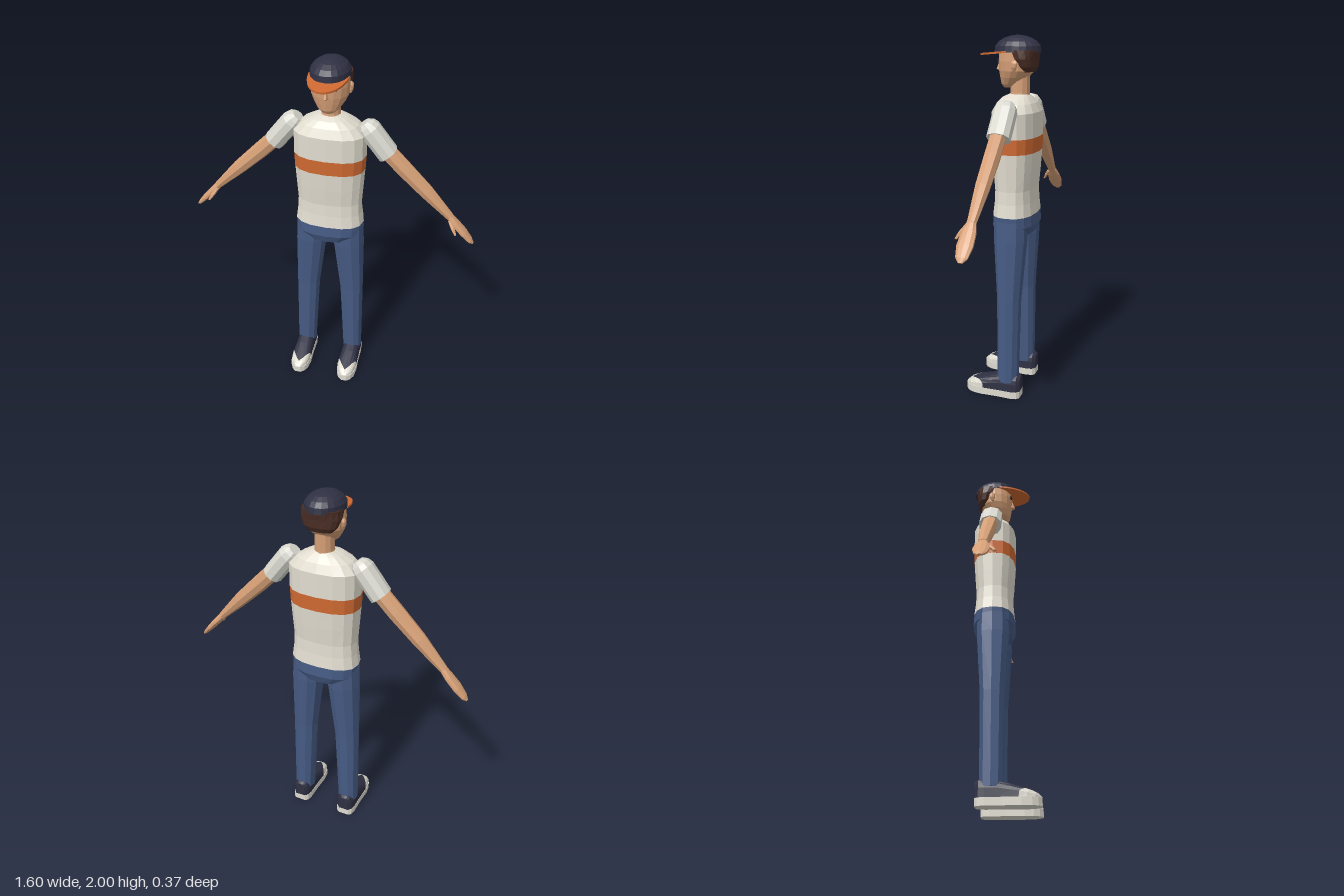
import * as THREE from 'three';

const mat = (name, color, side = THREE.FrontSide) => {
  const m = new THREE.MeshStandardMaterial({ color, flatShading: true, side });
  m.name = name;
  return m;
};

// Non-indexed geometry from rows of points; each row runs around the part
function skin(rows, closed) {
  const pos = [];
  const tri = (...p) => p.forEach((v) => pos.push(v.x, v.y, v.z));
  const n = rows[0].length;
  for (let i = 0; i < rows.length - 1; i++) {
    const a = rows[i], b = rows[i + 1];
    for (let j = 0; j < (closed ? n : n - 1); j++) {
      const k = (j + 1) % n;
      tri(a[j], b[j], a[k]);
      tri(a[k], b[j], b[k]);
    }
  }
  if (closed) {
    const mid = (r) => r.reduce((s, p) => s.add(p), new THREE.Vector3()).divideScalar(n);
    const first = rows[0], last = rows[rows.length - 1];
    const c0 = mid(first), c1 = mid(last);
    for (let j = 0; j < n; j++) {
      const k = (j + 1) % n;
      tri(c0, first[j], first[k]);
      tri(c1, last[k], last[j]);
    }
  }
  const g = new THREE.BufferGeometry();
  g.setAttribute('position', new THREE.Float32BufferAttribute(pos, 3));
  g.computeVertexNormals();
  return g;
}

// Loft of rounded rings [x, y, z, half width, half depth] along a straight axis
function loft(rings, sides = 16, power = 1) {
  const V = (r) => new THREE.Vector3(r[0], r[1], r[2]);
  const axis = V(rings[rings.length - 1]).sub(V(rings[0]));
  axis.z = 0;
  axis.normalize();
  const v = new THREE.Vector3(0, 0, 1);
  const u = axis.clone().cross(v);
  const round = (t) => Math.sign(t) * Math.abs(t) ** power;
  return skin(rings.map((r) => Array.from({ length: sides }, (_, j) => {
    const a = (j / sides) * Math.PI * 2;
    return V(r).addScaledVector(u, r[3] * round(Math.cos(a))).addScaledVector(v, r[4] * round(Math.sin(a)));
  })), true);
}

// Upright loft from [y, half width, half depth, z]
const stack = (rows, sides, power) => loft(rows.map(([y, w, d, z = -0.06]) => [0, y, z, w, d]), sides, power);

// Mirrored copy across x with the corner order turned round
function mirrored(geo) {
  const g = geo.index ? geo.toNonIndexed() : geo.clone();
  const p = g.attributes.position;
  for (let i = 0; i < p.count; i += 3) {
    const t = [0, 2, 1].map((k) => [-p.getX(i + k), p.getY(i + k), p.getZ(i + k)]);
    t.forEach((c, k) => p.setXYZ(i + k, ...c));
  }
  g.computeVertexNormals();
  return g;
}

// Linear look-up in a list of [z, value]
function sample(table, z) {
  for (let i = 1; i < table.length; i++) {
    const [z0, a] = table[i - 1], [z1, b] = table[i];
    if (z <= z1) return a + (b - a) * Math.max(0, (z - z0) / (z1 - z0));
  }
  return table[table.length - 1][1];
}

export function createModel() {
  const model = new THREE.Group();
  model.name = 'figure';
  const skinTone = mat('skin', 0xd6a077), shirt = mat('shirt', 0xe2ddd0), sleeveCloth = mat('sleeve cloth', 0xd9d9d0);
  const orange = mat('orange', 0xd06a32), denim = mat('denim', 0x465b84), hairBrown = mat('hair', 0x4a2e25);
  const navy = mat('navy', 0x2f3043, THREE.DoubleSide), rubber = mat('rubber', 0xdedbd0, THREE.DoubleSide);
  const dark = mat('eye', 0x2a2422);

  const add = (name, geo, material) => {
    const m = new THREE.Mesh(geo, material);
    m.name = name;
    model.add(m);
    return m;
  };
  const pair = (name, geo, material) => {
    add('left' + name, geo, material);
    add('right' + name, mirrored(geo), material);
  };

  // Shirt, with the chest stripe as its own band
  add('shirtBody', stack([[1.06, 0.192, 0.115], [1.13, 0.182, 0.107], [1.2, 0.178, 0.104], [1.3, 0.184, 0.113],
    [1.4, 0.19, 0.12]], 16, 0.8), shirt);
  add('chestStripe', stack([[1.4, 0.191, 0.121], [1.48, 0.194, 0.123]], 16, 0.8), orange);
  add('shirtShoulders', stack([[1.48, 0.194, 0.122], [1.61, 0.194, 0.122], [1.655, 0.15, 0.1], [1.685, 0.095, 0.075],
    [1.7, 0.055, 0.052, -0.068]], 16, 0.8), shirt);

  // Hips and legs
  add('hips', stack([[0.915, 0.072, 0.05], [0.95, 0.125, 0.098], [1.0, 0.186, 0.118], [1.065, 0.191, 0.114]], 16, 0.8), denim);
  pair('Leg', loft([[0.147, 0.09, -0.06, 0.058, 0.06], [0.132, 0.58, -0.06, 0.069, 0.066],
    [0.109, 0.92, -0.06, 0.088, 0.09], [0.105, 1.03, -0.06, 0.086, 0.09]], 10, 0.9), denim);

  // Arms, sleeves, hands and thumbs
  const z = -0.065;
  pair('Sleeve', loft([[0.172, 1.664, z, 0.032, 0.035], [0.187, 1.65, z, 0.05, 0.052], [0.206, 1.63, z, 0.057, 0.062],
    [0.307, 1.503, z, 0.056, 0.062]], 10, 0.9), sleeveCloth);
  pair('Arm', loft([[0.27, 1.55, z, 0.045, 0.042], [0.39, 1.43, z, 0.045, 0.042], [0.52, 1.305, z, 0.039, 0.038],
    [0.66, 1.165, z, 0.021, 0.024]], 8, 0.9), skinTone);
  pair('Hand', loft([[0.655, 1.17, z, 0.019, 0.024], [0.69, 1.13, z, 0.02, 0.038], [0.74, 1.078, z, 0.018, 0.043],
    [0.78, 1.034, z, 0.012, 0.032], [0.797, 1.016, z, 0.005, 0.012]], 10), skinTone);
  pair('Thumb', loft([[0.66, 1.155, -0.045, 0.011, 0.014], [0.68, 1.125, -0.022, 0.011, 0.013],
    [0.7, 1.095, -0.002, 0.006, 0.007]], 6), skinTone);

  // Neck, head and face
  add('neck', stack([[1.67, 0.056, 0.055, -0.07], [1.71, 0.051, 0.052, -0.073], [1.83, 0.05, 0.052, -0.075]], 12), skinTone);
  add('head', stack([[1.732, 0.03, 0.028, -0.012], [1.75, 0.055, 0.05, -0.022], [1.785, 0.08, 0.076, -0.042],
    [1.82, 0.097, 0.094, -0.055], [1.87, 0.101, 0.098, -0.056], [1.94, 0.098, 0.095, -0.06]], 16), skinTone);
  add('nose', loft([[0, 1.815, 0.034, 0.008, 0.008], [0, 1.826, 0.04, 0.013, 0.02], [0, 1.868, 0.036, 0.005, 0.008]], 6), skinTone);
  pair('Ear', loft([[0.098, 1.82, -0.07, 0.007, 0.008], [0.103, 1.84, -0.073, 0.01, 0.016],
    [0.104, 1.862, -0.075, 0.01, 0.018], [0.1, 1.874, -0.075, 0.007, 0.01]], 8), skinTone);
  const eye = new THREE.BoxGeometry(0.02, 0.018, 0.008).rotateY(0.42).translate(0.043, 1.875, 0.034);
  pair('Eye', eye, dark);
  add('hair', stack([[1.815, 0.066, 0.03, -0.122], [1.84, 0.09, 0.048, -0.117], [1.88, 0.105, 0.062, -0.105],
    [1.925, 0.104, 0.088, -0.088]], 16, 0.85), hairBrown);

  // Cap with its brim tipped slightly down
  add('capDome', stack([[1.915, 0.103, 0.125], [1.945, 0.1, 0.121], [1.968, 0.084, 0.102], [1.985, 0.06, 0.074],
    [1.996, 0.032, 0.04], [2.0, 0.008, 0.01]], 20), navy);
  const brimShape = new THREE.Shape();
  brimShape.absellipse(0, 0, 0.102, 0.178, 0, Math.PI, false);
  const brim = new THREE.ExtrudeGeometry(brimShape, { depth: 0.01, bevelEnabled: false, curveSegments: 18 });
  brim.rotateX(Math.PI / 2).rotateX(0.09).translate(0, 1.922, -0.03);
  add('capBrim', brim, orange);

  // Shoes: sole, dark upper and pale toe meeting in a V
  const width = [[-0.138, 0.03], [-0.125, 0.046], [-0.09, 0.053], [0, 0.053], [0.09, 0.058], [0.14, 0.052], [0.17, 0.037], [0.188, 0.015]];
  const height = [[-0.138, 0.125], [-0.12, 0.135], [-0.035, 0.135], [0.115, 0.087], [0.165, 0.066], [0.188, 0.045]];
  const shoeX = 0.148;
  const outline = [...width.map(([d, w]) => [w + 0.002, d]), ...width.map(([d, w]) => [-w - 0.002, d]).reverse()];
  const sole = new THREE.ExtrudeGeometry(new THREE.Shape(outline.map(([x, d]) => new THREE.Vector2(x, -d))),
    { depth: 0.04, bevelEnabled: false });
  sole.rotateX(-Math.PI / 2).translate(shoeX, 0, 0);
  pair('Sole', sole, rubber);

  const arch = Array.from({ length: 11 }, (_, i) => (i / 10) * Math.PI);
  const point = (a, d) => new THREE.Vector3(shoeX + sample(width, d) * Math.sign(Math.cos(a)) * Math.abs(Math.cos(a)) ** 0.7,
    0.038 + (sample(height, d) - 0.038) * Math.sin(a) ** 0.6, d);
  const seam = (a) => 0.16 - 0.085 * Math.abs(Math.cos(a));
  const heel = arch.map(() => new THREE.Vector3(shoeX, 0.04, -0.138));
  const upper = [-0.138, -0.12, -0.09, -0.035, 0.04].map((d) => arch.map((a) => point(a, d)));
  const seamRow = arch.map((a) => point(a, seam(a)));
  const toe = [0.35, 0.7, 1].map((t) => arch.map((a) => point(a, seam(a) + (0.188 - seam(a)) * t)));
  const tip = arch.map(() => new THREE.Vector3(shoeX, 0.038, 0.188));
  // rows run heel to toe, so each is reversed to face outward
  const shell = (rows) => skin(rows.map((r) => [...r].reverse()), false);
  pair('ShoeUpper', shell([heel, ...upper, seamRow]), navy);
  pair('ShoeToe', shell([seamRow, ...toe, tip]), rubber);

  return model;
}
